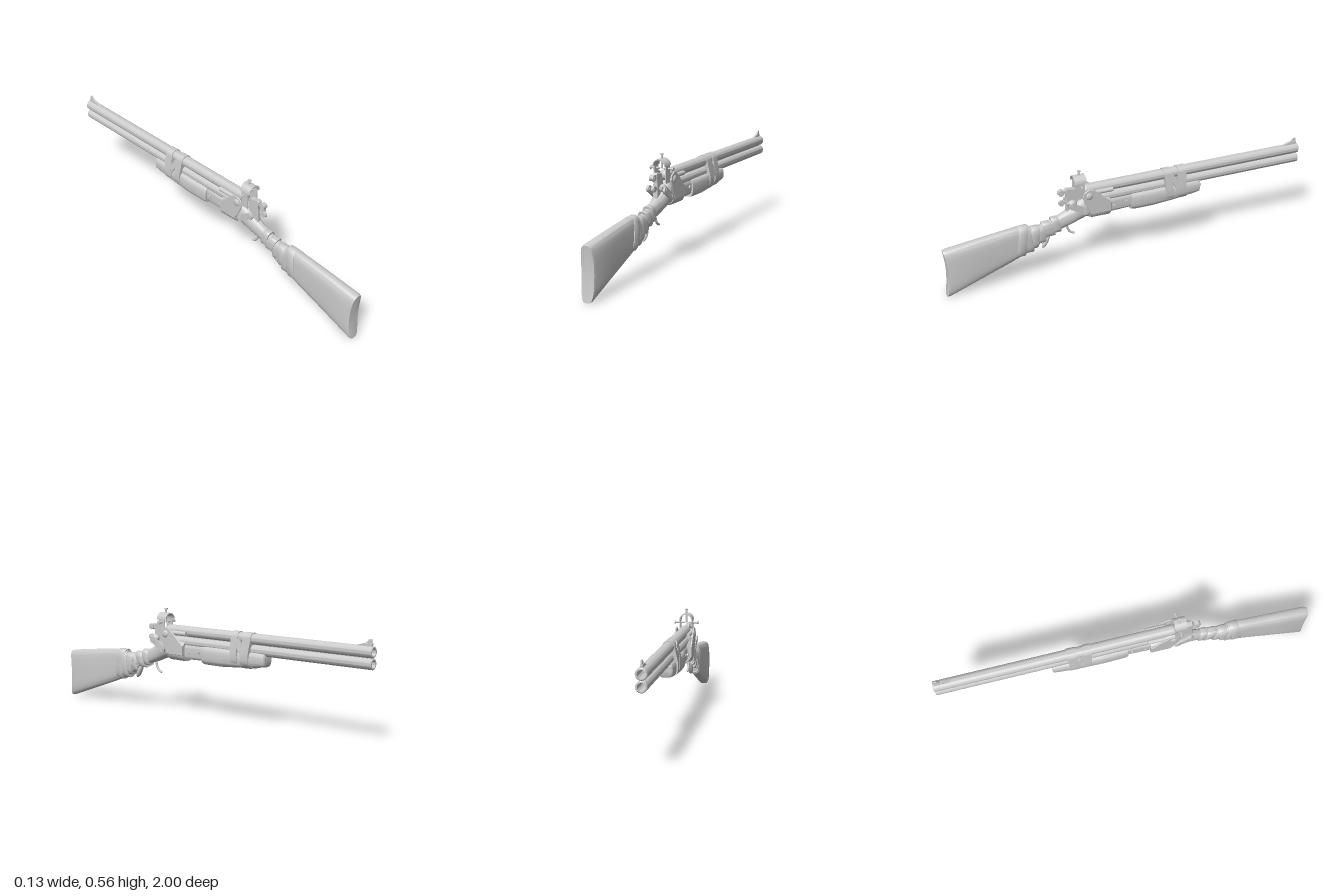
import * as THREE from 'three';
import { toCreasedNormals } from 'three/addons/utils/BufferGeometryUtils.js';

const grey = new THREE.MeshStandardMaterial({ color: 0xcccccc, side: THREE.DoubleSide });
grey.name = 'lightGrey';

export function createModel() {
  const model = new THREE.Group();

  const add = (name, geo, x = 0, y = 0, z = 0) => {
    const m = new THREE.Mesh(geo, grey);
    m.name = name;
    m.position.set(x, y, z);
    model.add(m);
    return m;
  };

  // Loft along z. Stations: [z, bottom, top, half width, bow]; slant leans the rings.
  const loft = (stations, power = 2.5, slant = 0, seg = 32) => {
    const pos = [], idx = [];
    const pw = v => Math.sign(v) * Math.abs(v) ** (2 / power);
    stations.forEach(([z, b, t, w, bow = 0]) => {
      for (let j = 0; j < seg; j++) {
        const a = (j / seg) * Math.PI * 2, s = pw(Math.sin(a));
        pos.push(w * pw(Math.cos(a)), (b + t) / 2 + s * (t - b) / 2,
          z - bow * (1 - s * s) + slant * s * (t - b) / 2);
      }
    });
    const last = (stations.length - 1) * seg, c = stations.length * seg;
    for (const [z, b, t, , bow = 0] of [stations[0], stations.at(-1)]) pos.push(0, (b + t) / 2, z - bow);
    for (let j = 0; j < seg; j++) {
      const k = (j + 1) % seg;
      for (let i = 0; i < last; i += seg) idx.push(i + j, i + k, i + seg + k, i + j, i + seg + k, i + seg + j);
      idx.push(c, k, j, c + 1, last + j, last + k);
    }
    const g = new THREE.BufferGeometry();
    g.setAttribute('position', new THREE.Float32BufferAttribute(pos, 3));
    g.setIndex(idx);
    return toCreasedNormals(g, 0.6);
  };

  // Side plate drawn in (z, y), with its thickness along x.
  const plate = (points, thick, bevel = 0.002) => {
    const s = new THREE.Shape(points.map(p => new THREE.Vector2(...p)));
    return new THREE.ExtrudeGeometry(s, {
      depth: thick - 2 * bevel, bevelSize: bevel, bevelThickness: bevel, bevelSegments: 1,
    }).translate(0, 0, -thick / 2 + bevel).rotateY(-Math.PI / 2);
  };

  const rod = (r, len, axis, seg = 20) => {
    const g = new THREE.CylinderGeometry(r, r, len, seg);
    if (axis === 'x') g.rotateZ(Math.PI / 2);
    if (axis === 'z') g.rotateX(Math.PI / 2);
    return g;
  };

  // Barrels with open muzzles
  const barrel = (name, y, r, back) => {
    const len = back + 1, bore = r * 0.68;
    const profile = [[0, 0], [r, 0], [r, len - 0.003], [r - 0.003, len], [bore, len], [bore, len - 0.12], [0, len - 0.12]];
    const g = new THREE.LatheGeometry(profile.map(p => new THREE.Vector2(...p)), 32);
    add(name, toCreasedNormals(g.rotateX(-Math.PI / 2), 0.5), 0, y, back);
  };
  barrel('upperBarrel', 0.453, 0.028, 0.24);
  barrel('lowerBarrel', 0.397, 0.027, 0.2);
  add('breechDome', new THREE.SphereGeometry(0.028, 24, 16), 0, 0.453, 0.24);
  add('barrelRib', new THREE.BoxGeometry(0.012, 0.02, 1.1), 0, 0.425, -0.42);

  // Front sight
  add('sightRamp', plate([[-0.9, 0.478], [-0.99, 0.478], [-0.99, 0.493], [-0.95, 0.493]], 0.014, 0.001));
  add('sightBlade', plate([[-0.955, 0.49], [-0.988, 0.49], [-0.988, 0.513], [-0.975, 0.513]], 0.008, 0.001));

  // Fore-end and its straps
  add('foreEnd', loft([
    [-0.4, 0.325, 0.38, 0.03], [-0.395, 0.317, 0.387, 0.036], [-0.36, 0.312, 0.39, 0.039],
    [-0.25, 0.3, 0.39, 0.043], [-0.12, 0.291, 0.39, 0.044], [-0.02, 0.291, 0.39, 0.041], [0, 0.294, 0.388, 0.038],
  ], 3.2));
  const strap = (z, width, skew, grow) => {
    const s = new THREE.Shape();
    s.absarc(0, 0.453, 0.03 + grow, 0, Math.PI, false);
    s.lineTo(-0.045 - grow, 0.38);
    s.absarc(0, 0.345, 0.045 + grow, Math.PI, Math.PI * 2, false);
    s.lineTo(0.045 + grow, 0.38);
    const g = new THREE.ExtrudeGeometry(s, { depth: width, bevelEnabled: false, curveSegments: 20 });
    const p = g.attributes.position;
    for (let i = 0; i < p.count; i++) p.setZ(i, p.getZ(i) + skew * (p.getY(i) - 0.39));
    add('foreEndStrap', toCreasedNormals(g, 0.6), 0, 0, z);
  };
  strap(-0.235, 0.042, 0.06, 0.002);
  strap(-0.31, 0.048, -0.05, 0.002);
  strap(-0.275, 0.032, 0.55, 0.001);

  // Receiver bar, wrapped cradle and tapering wrist
  add('receiverBar', loft([[-0.03, 0.31, 0.385, 0.028], [0.14, 0.305, 0.385, 0.03]], 5));
  add('receiverCradle', loft([[0.12, 0.296, 0.4, 0.05], [0.125, 0.293, 0.402, 0.052], [0.22, 0.294, 0.41, 0.052], [0.235, 0.3, 0.41, 0.047]], 2.5));
  add('wrist', loft([
    [0.2, 0.298, 0.42, 0.043], [0.25, 0.302, 0.428, 0.045], [0.285, 0.29, 0.405, 0.042],
    [0.32, 0.275, 0.37, 0.034], [0.37, 0.258, 0.343, 0.026], [0.44, 0.233, 0.315, 0.023], [0.5, 0.207, 0.297, 0.024],
  ], 2.3));

  // Stock with hollowed butt
  add('stock', loft([
    [0.45, 0.23, 0.308, 0.023], [0.5, 0.197, 0.294, 0.026], [0.55, 0.165, 0.3, 0.03],
    [0.61, 0.142, 0.314, 0.031], [0.66, 0.122, 0.308, 0.031], [0.82, 0.064, 0.29, 0.034],
    [0.985, 0.004, 0.27, 0.037, 0.012], [1, 0.001, 0.266, 0.033, 0.015],
  ], 3.6));

  // Cloth wraps on stock and wrist: [z, bottom, top, half width, length, slant]
  [
    [0.595, 0.143, 0.316, 0.037, 0.05, -0.12], [0.565, 0.157, 0.307, 0.036, 0.045, 0.12],
    [0.53, 0.175, 0.3, 0.033, 0.05, -0.1], [0.495, 0.198, 0.298, 0.029, 0.045, 0.12],
    [0.45, 0.227, 0.313, 0.028, 0.05, 0.3], [0.41, 0.241, 0.33, 0.028, 0.04, 0.15],
  ].forEach(([z, b, t, w, len, slant]) => {
    const h = len / 2;
    add('clothWrap', loft([
      [z - h, b + 0.002, t - 0.002, w - 0.002], [z - h + 0.004, b, t, w],
      [z + h - 0.004, b, t, w], [z + h, b + 0.002, t - 0.002, w - 0.002],
    ], 2.8, slant));
  });
  const knot = add('wrapTail', new THREE.SphereGeometry(1, 20, 14), 0.006, 0.205, 0.465);
  knot.scale.set(0.016, 0.045, 0.013);
  knot.rotation.x = -0.45;

  // Trigger
  const trigger = new THREE.CatmullRomCurve3([[0.275, 0.35], [0.243, 0.343], [0.222, 0.33], [0.213, 0.312]]
    .map(([y, z]) => new THREE.Vector3(0, y, z)));
  add('trigger', new THREE.TubeGeometry(trigger, 16, 0.006, 8));
  add('triggerTip', new THREE.SphereGeometry(0.006, 10, 8), 0, 0.213, 0.312);

  // Paired side fittings
  for (const s of [-1, 1]) {
    add('sidePlate', plate([[0.122, 0.33], [0.122, 0.38], [0.195, 0.448], [0.215, 0.466], [0.24, 0.47],
      [0.265, 0.455], [0.272, 0.43], [0.262, 0.4], [0.225, 0.33]], 0.008), s * 0.048);
    const boss = add('plateBoss', new THREE.SphereGeometry(0.02, 20, 12), s * 0.05, 0.435, 0.238);
    boss.scale.x = 0.45;
    add('sideRod', rod(0.012, 0.1, 'z'), s * 0.033, 0.443, 0.155);

    // Slanted link with round ends, rising towards the rear
    const link = new THREE.Group();
    link.name = 'sideLink';
    link.position.set(s * 0.046, 0.372, 0.295);
    link.rotation.x = 1;
    const bar = new THREE.Mesh(new THREE.BoxGeometry(0.012, 0.08, 0.032), grey);
    link.add(bar);
    for (const e of [-1, 1]) {
      const end = new THREE.Mesh(rod(0.018, 0.013, 'x'), grey);
      end.position.y = e * 0.039;
      const pin = new THREE.Mesh(rod(0.009, 0.019, 'x', 12), grey);
      pin.position.y = e * 0.039;
      link.add(end, pin);
    }
    model.add(link);

    for (const [z, y] of [[0.095, 0.342], [0.025, 0.352]]) add('receiverPin', rod(0.008, 0.012, 'x', 12), s * 0.031, y, z);
    add('hoopLeg', new THREE.BoxGeometry(0.006, 0.09, 0.042), s * 0.033, 0.465, 0.278);
    add('sideScrew', rod(0.005, 0.05, 'x', 12), s * 0.037, 0.492, 0.275);
    add('sideScrewHead', rod(0.009, 0.006, 'x', 16), s * 0.062, 0.492, 0.275);
  }

  // Hoop over the breech, with its top screw
  const hoop = new THREE.Shape();
  hoop.absarc(0, 0.506, 0.036, 0, Math.PI, false);
  hoop.absarc(0, 0.506, 0.03, Math.PI, 0, true);
  add('hoop', toCreasedNormals(new THREE.ExtrudeGeometry(hoop, { depth: 0.064, bevelEnabled: false, curveSegments: 24 }), 0.5), 0, 0, 0.246);
  add('topScrew', rod(0.005, 0.07, 'y', 12), 0, 0.525, 0.275);
  add('topScrewHead', rod(0.009, 0.006, 'y', 16), 0, 0.563, 0.275);

  // Rear post, cross tubes and cocking piece
  add('rearPost', plate([[0.28, 0.4], [0.3, 0.47], [0.345, 0.478], [0.352, 0.47], [0.345, 0.43], [0.35, 0.34], [0.31, 0.34]], 0.024));
  for (const [x, y, w] of [[0, 0.459, 0.024], [0.006, 0.403, 0.014]]) {
    add('crossTubeArm', new THREE.BoxGeometry(w * 0.6, 0.014, 0.04), x, y, 0.356);
    add('crossTube', rod(0.016, w, 'x'), x, y, 0.374);
    add('crossTubePin', rod(0.007, w + 0.004, 'x', 12), x, y, 0.374);
  }
  const ear = add('cockingPiece', new THREE.SphereGeometry(1, 20, 14), 0.031, 0.403, 0.325);
  ear.scale.set(0.017, 0.02, 0.024);
  add('cockingPin', rod(0.009, 0.04, 'z', 14), 0.034, 0.407, 0.335);

  return model;
}
